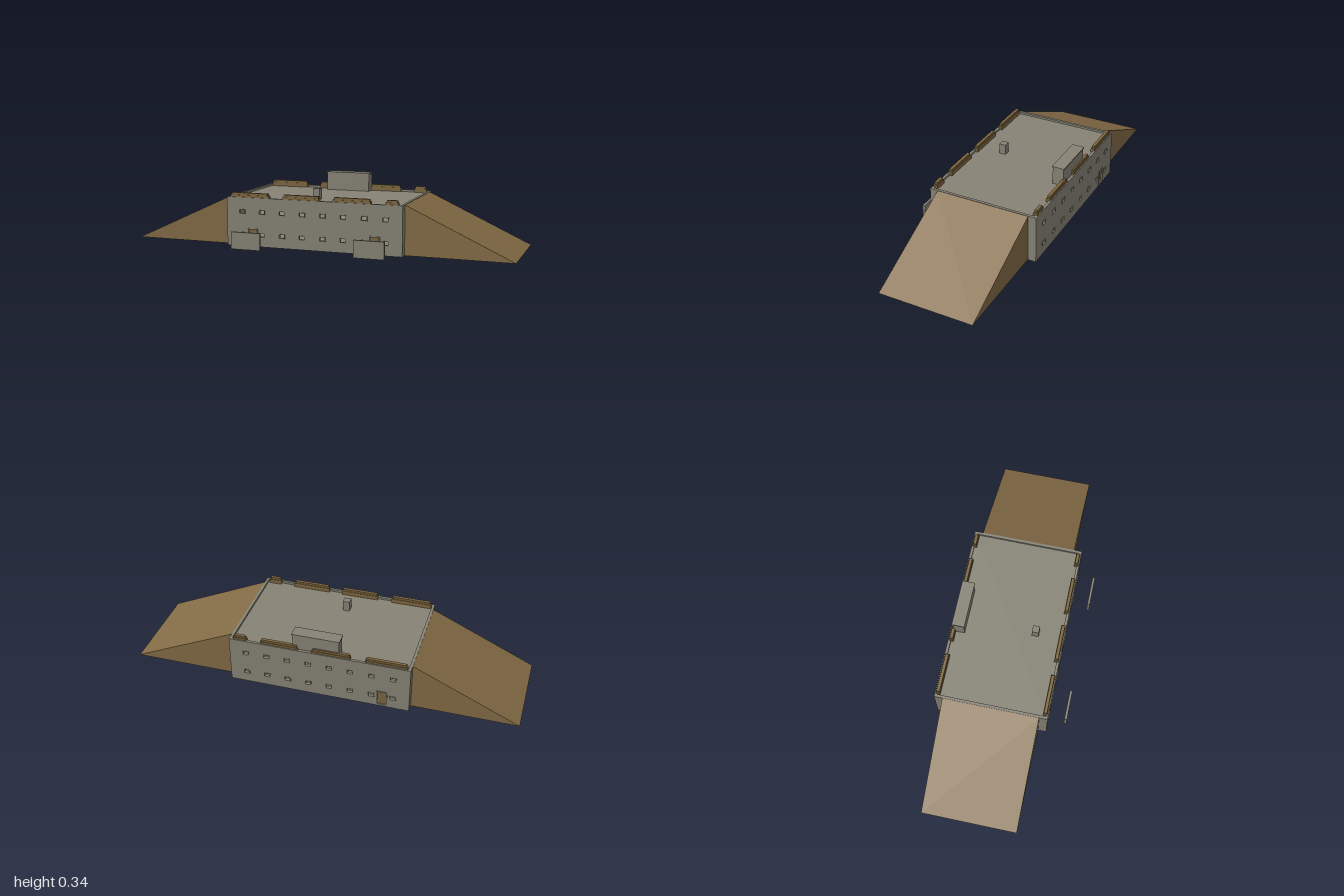
import * as THREE from 'three';

const mat = (name, color, side = THREE.FrontSide) => {
  const m = new THREE.MeshStandardMaterial({ color, side });
  m.name = name;
  return m;
};

export function createModel() {
  const model = new THREE.Group();
  model.name = 'bunker';
  const concrete = mat('concrete', 0x878476);
  const earth = mat('earth', 0x846c46, THREE.DoubleSide);
  const sandbag = mat('sandbag', 0x7e673f);
  const wood = mat('wood', 0x7c653f);

  const add = (name, geo, material, parent = model) => {
    const m = new THREE.Mesh(geo, material);
    m.name = name;
    parent.add(m);
    return m;
  };
  // Box given by its limits on each axis
  const box = (name, x0, x1, y0, y1, z0, z1, material, parent) => {
    const m = add(name, new THREE.BoxGeometry(x1 - x0, y1 - y0, z1 - z0), material, parent);
    m.position.set((x0 + x1) / 2, (y0 + y1) / 2, (z0 + z1) / 2);
    return m;
  };
  // Rectangular outline
  const rect = (C, x0, x1, y0, y1) => {
    const p = new C();
    p.moveTo(x0, y0);
    p.lineTo(x1, y0);
    p.lineTo(x1, y1);
    p.lineTo(x0, y1);
    p.closePath();
    return p;
  };
  const extrude = (shape, depth) =>
    new THREE.ExtrudeGeometry(shape, { depth, bevelEnabled: false });

  const X = 0.463, H = 0.25, ZF = 0.242, ZB = -0.332, T = 0.014;
  const windows = [];
  for (let i = 0; i < 8; i++)
    for (const y of [0.061, 0.177]) windows.push([-0.379 + i * 0.108, y]);

  // Long walls: window openings, thin raised frames and recessed doors
  const longWall = (name, doors, z, outward) => {
    const g = new THREE.Group();
    g.name = name;
    const wall = rect(THREE.Shape, -X, X, 0, H);
    const openings = [
      ...windows.map(([x, y]) => ['windowFrame', x - 0.014, x + 0.014, y - 0.009, y + 0.009, 0.003]),
      ...doors.map((x) => ['doorFrame', x - 0.023, x + 0.023, 0.012, 0.088, 0.005]),
    ];
    for (const [frameName, x0, x1, y0, y1, w] of openings) {
      wall.holes.push(rect(THREE.Path, x0, x1, y0, y1));
      const frame = rect(THREE.Shape, x0 - w, x1 + w, y0 - w, y1 + w);
      frame.holes.push(rect(THREE.Path, x0, x1, y0, y1));
      add(frameName, extrude(frame, 0.002), concrete, g).position.z = outward > 0 ? T : -0.002;
    }
    add('wall', extrude(wall, T), concrete, g);
    const c = outward > 0 ? T - 0.008 : 0.008;
    for (const x of doors)
      box('door', x - 0.023, x + 0.023, 0.012, 0.088, c - 0.003, c + 0.003, wood, g);
    g.position.z = z;
    model.add(g);
  };
  longWall('frontWall', [-0.322, 0.322], ZF - T, 1);
  longWall('backWall', [-0.325], ZB, -1);

  // End walls, floors and the slightly sunken roof
  for (const s of [-1, 1]) {
    const a = s * X, b = s * (X - T);
    box('endWall', Math.min(a, b), Math.max(a, b), 0, H, ZB + T, ZF - T, concrete);
  }
  const slab = (name, y0, y1) => box(name, -X + T, X - T, y0, y1, ZB + T, ZF - T, concrete);
  slab('groundFloor', 0, 0.01);
  slab('upperFloor', 0.115, 0.125);
  slab('roof', 0.228, 0.239);

  // Earth ramps, open underneath
  const z0 = -0.29, z1 = 0.2, top = 0.248;
  for (const s of [-1, 1]) {
    const tip = s, inner = s * X;
    const A = [tip, 0, z0], B = [tip, 0, z1], C = [inner, top, z1], D = [inner, top, z0];
    const E = [inner, 0, z1], F = [inner, 0, z0];
    const tris = [[A, D, C], [A, C, B], [B, C, E], [A, F, D]];
    const pts = tris.flatMap((t) => (s > 0 ? t : [t[0], t[2], t[1]])).flat();
    const geo = new THREE.BufferGeometry();
    geo.setAttribute('position', new THREE.Float32BufferAttribute(pts, 3));
    geo.computeVertexNormals();
    add(s > 0 ? 'leftEarthRamp' : 'rightEarthRamp', geo, earth);
  }

  // Sandbag rows along both parapets, two courses each
  const rows = [[-0.445, -0.235], [-0.16, 0.035], [0.105, 0.3], [0.375, 0.44]];
  for (const z of [0.226, -0.316])
    for (const [a, b] of rows) {
      box('lowerSandbags', a, b, 0.238, 0.261, z - 0.011, z + 0.011, sandbag);
      box('upperSandbags', a + 0.006, b - 0.006, 0.261, 0.272, z - 0.008, z + 0.008, sandbag);
    }

  // Rooftop stair house and chimney
  box('stairHouse', -0.102, 0.134, 0.235, 0.331, -0.317, -0.26, concrete);
  box('stairHouseRoof', -0.106, 0.138, 0.331, 0.337, -0.321, -0.256, concrete);
  box('chimney', -0.045, -0.009, 0.235, 0.294, 0.077, 0.112, concrete);

  // Freestanding blast walls before the front doors
  for (const s of [-1, 1])
    box('blastWall', s * 0.322 - 0.078, s * 0.322 + 0.078, 0, 0.087, 0.322, 0.335, concrete);

  return model;
}
